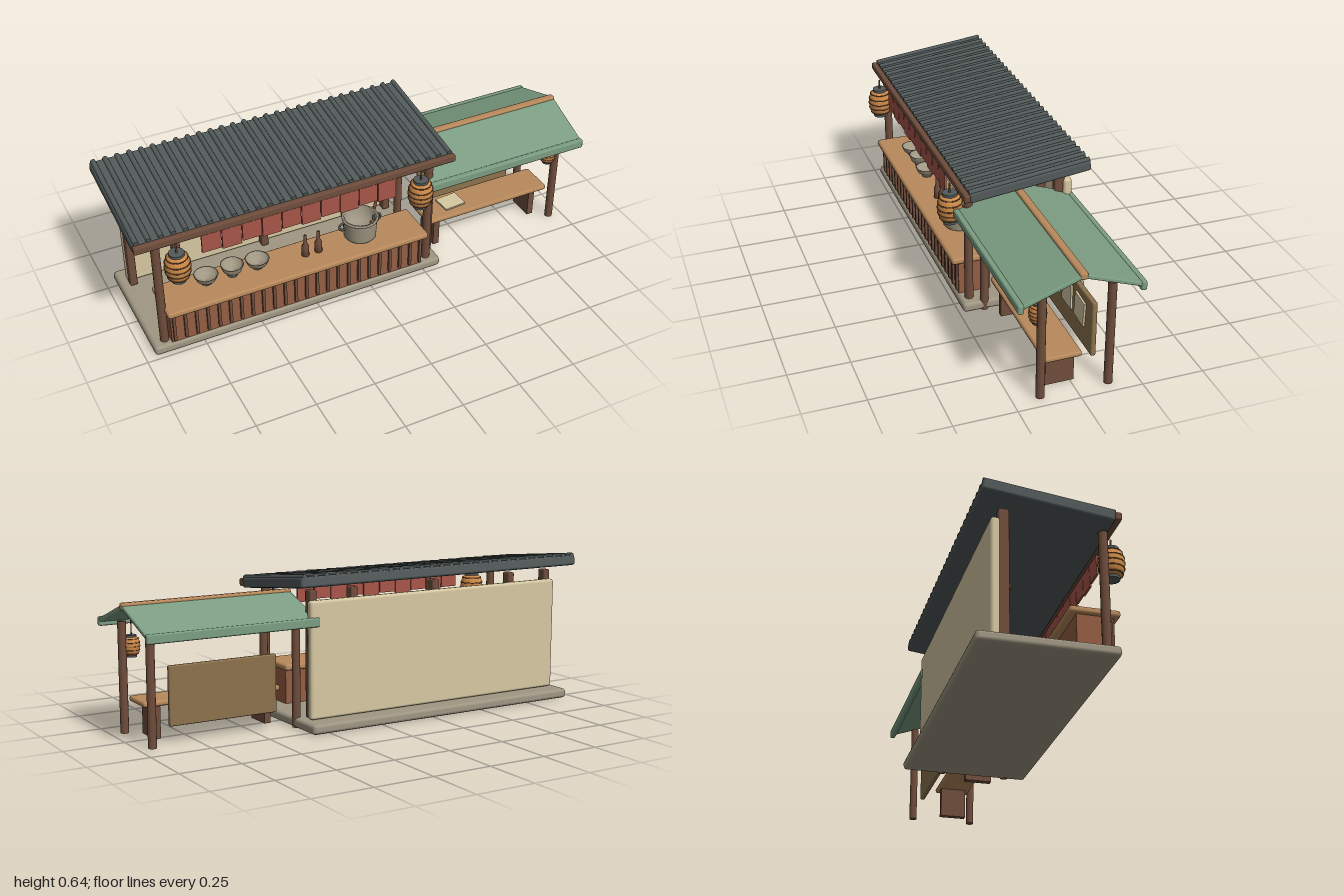
import * as THREE from 'three';
import { RoundedBoxGeometry } from 'three/addons/geometries/RoundedBoxGeometry.js';

const mat = (name, color) => {
  const m = new THREE.MeshStandardMaterial({ color });
  m.name = name;
  return m;
};

export function createModel() {
  const root = new THREE.Group();
  root.name = 'foodStall';
  const stone = mat('stone', 0xa09783), tan = mat('lightWood', 0xb98a5c), brown = mat('darkWood', 0x6f4d3c),
    slate = mat('slate', 0x525a59), green = mat('greenRoof', 0x7b9d82), cream = mat('cream', 0xd6c8a2),
    red = mat('redCloth', 0xa8554a), orange = mat('lanternPaper', 0xd08b48),
    rust = mat('counterWood', 0x945d43), olive = mat('oliveBoard', 0x8c724c);

  const add = (name, geo, material, x = 0, y = 0, z = 0, parent = root) => {
    const m = new THREE.Mesh(geo, material);
    m.name = name;
    m.position.set(x, y, z);
    parent.add(m);
    return m;
  };
  // Box given by its extents, with an optional chamfer
  const box = (name, material, [x0, x1], [y0, y1], [z0, z1], r = 0, parent = root) => {
    const s = [x1 - x0, y1 - y0, z1 - z0];
    const geo = r ? new RoundedBoxGeometry(...s, 1, r) : new THREE.BoxGeometry(...s);
    return add(name, geo, material, (x0 + x1) / 2, (y0 + y1) / 2, (z0 + z1) / 2, parent);
  };
  const cyl = (name, material, rt, rb, h, x, y, z, parent = root, n = 16) =>
    add(name, new THREE.CylinderGeometry(rt, rb, h, n), material, x, y, z, parent);
  const lathe = (pts, n = 24) => new THREE.LatheGeometry(pts.map(p => new THREE.Vector2(...p)), n);
  const group = (name, x, y, z) => {
    const g = new THREE.Group();
    g.name = name;
    g.position.set(x, y, z);
    root.add(g);
    return g;
  };

  // Floor, back wall and its rail
  box('floor', stone, [-0.96, 0.33], [0, 0.042], [-0.3, 0.235], 0.015);
  box('backWall', cream, [-0.925, 0.305], [0.045, 0.525], [-0.237, -0.2], 0.012);
  box('wallRail', brown, [-0.9, 0.28], [0.25, 0.268], [-0.166, -0.156]);

  // Posts of the stall
  for (const x of [-0.907, 0.277]) cyl('frontPost', brown, 0.018, 0.018, 0.485, x, 0.283, 0.195);
  for (const x of [-0.907, -0.71, -0.312, 0.085, 0.277])
    box('backPost', brown, [x - 0.016, x + 0.016], [0.045, 0.565], [-0.208, -0.166], 0.006);

  // Ribbed sloping roof and eave beam
  const roof = group('mainRoof', -0.313, 0.58, -0.034);
  roof.rotation.x = 0.118;
  box('roofSlab', slate, [-0.687, 0.687], [-0.022, 0.022], [-0.254, 0.254], 0.01, roof);
  for (let i = 0; i < 28; i++) {
    const rib = cyl('roofRib', slate, 0.011, 0.011, 0.505, -0.67 + i * 1.34 / 27, 0.021, 0, roof, 10);
    rib.rotation.x = Math.PI / 2;
  }
  box('eaveBeam', brown, [-1, 0.375], [0.535, 0.567], [0.215, 0.241], 0.006);

  // Hanging cloth strips
  for (let i = 0; i < 10; i++) {
    const x = -0.693 + i * 0.084;
    const drop = i % 2 ? 0.443 : 0.452;
    box('clothStrip', red, [x - 0.04, x + 0.04], [drop, 0.535], [0.228, 0.236]);
  }

  // Counter with upright slats
  box('counterBody', rust, [-0.885, 0.24], [0.042, 0.19], [0.09, 0.226]);
  box('counterTop', tan, [-0.9, 0.255], [0.187, 0.215], [0.06, 0.257], 0.011);
  for (let i = 0; i < 24; i++) {
    const x = -0.872 + i * 1.1 / 23;
    box('counterSlat', brown, [x - 0.006, x + 0.006], [0.055, 0.188], [0.224, 0.236]);
  }

  // Bowls
  for (const [x, r, h] of [[-0.695, 0.05, 0.045], [-0.583, 0.048, 0.055], [-0.474, 0.05, 0.045]]) {
    add('bowl', lathe([[0, 0], [r * 0.45, 0], [r * 0.45, h * 0.2], [r * 0.8, h * 0.5], [r, h],
      [r * 0.9, h], [r * 0.7, h * 0.55], [0, h * 0.3]]), stone, x, 0.215, 0.14);
  }

  // Bottles
  for (const x of [-0.267, -0.208])
    add('bottle', lathe([[0, 0], [0.016, 0], [0.016, 0.045], [0.007, 0.065], [0.007, 0.1], [0, 0.1]], 14),
      brown, x, 0.215, 0.155);

  // Cooking pot with handles and ladle
  const pot = group('cookingPot', -0.01, 0.215, 0.14);
  add('potBody', lathe([[0, 0], [0.058, 0], [0.068, 0.012], [0.071, 0.092], [0.077, 0.094], [0.077, 0.102],
    [0.066, 0.102], [0.064, 0.03], [0, 0.03]], 28), stone, 0, 0, 0, pot);
  for (const s of [-1, 1])
    add('potHandle', new THREE.TorusGeometry(0.017, 0.005, 8, 16), slate, s * 0.078, 0.072, 0, pot);
  const ladle = cyl('ladle', brown, 0.007, 0.006, 0.16, 0.083, 0.1, -0.03, pot, 8);
  ladle.rotation.set(-0.15, 0, -0.3);

  // Paper lanterns with hoops, caps and cord
  const lantern = (x, y, z, s, cord) => {
    const g = group('lantern', x, y, z);
    g.scale.setScalar(s);
    const radius = t => 0.029 + 0.022 * Math.sqrt(Math.max(0, 1 - t * t));
    const pts = [];
    for (let i = 0; i <= 12; i++) pts.push([radius(i / 6 - 1), (i / 6 - 1) * 0.057]);
    add('paperBody', lathe(pts), orange, 0, 0, 0, g);
    for (const t of [-0.8, -0.4, 0, 0.4, 0.8]) {
      const hoop = add('hoop', new THREE.TorusGeometry(radius(t), 0.0025, 6, 24), brown, 0, t * 0.057, 0, g);
      hoop.rotation.x = Math.PI / 2;
    }
    for (const e of [-1, 1]) cyl('cap', slate, 0.031, 0.031, 0.012, 0, e * 0.061, 0, g);
    cyl('cord', brown, 0.004, 0.004, cord, 0, 0.067 + cord / 2, 0, g, 8);
  };
  lantern(-0.84, 0.437, 0.249, 1, 0.04);
  lantern(0.21, 0.437, 0.249, 1, 0.04);
  lantern(0.903, 0.348, 0.142, 0.66, 0.12);

  // Side shelter: posts, gable roof, ridge and eave trims
  for (const x of [0.315, 0.942])
    for (const z of [0.142, -0.132]) cyl('shelterPost', brown, 0.017, 0.017, 0.45, x, 0.225, z);
  for (const s of [-1, 1]) {
    const panel = box('shelterRoof', green, [0.268, 0.998], [0.477, 0.495], [-0.127, 0.127], 0.006);
    panel.position.z = 0.005 + s * 0.12;
    panel.rotation.x = s * 0.345;
    const z = 0.005 + s * 0.237;
    box('eaveTrim', green, [0.265, 1], [0.421, 0.459], [z - 0.012, z + 0.012], 0.007);
  }
  box('ridge', tan, [0.265, 1], [0.514, 0.544], [-0.011, 0.021], 0.008);

  // Bench with a menu card
  box('benchSeat', tan, [0.33, 0.93], [0.132, 0.155], [-0.03, 0.122], 0.01);
  for (const x of [0.385, 0.87]) box('benchLeg', brown, [x - 0.014, x + 0.014], [0, 0.135], [-0.016, 0.099]);
  const card = box('menuCard', cream, [0.43, 0.53], [0.161, 0.168], [0.005, 0.089]);
  card.rotation.y = 0.08;

  // Notice board with pinned sheets
  box('noticeBoard', olive, [0.395, 0.86], [0.068, 0.306], [-0.116, -0.095], 0.006);
  [[0.502, 0.08], [0.625, 0], [0.75, -0.08]].forEach(([x, tilt]) => {
    const sheet = box('noticeSheet', cream, [x - 0.045, x + 0.045], [0.165, 0.27], [-0.095, -0.087]);
    sheet.rotation.z = tilt;
  });

  return root;
}
